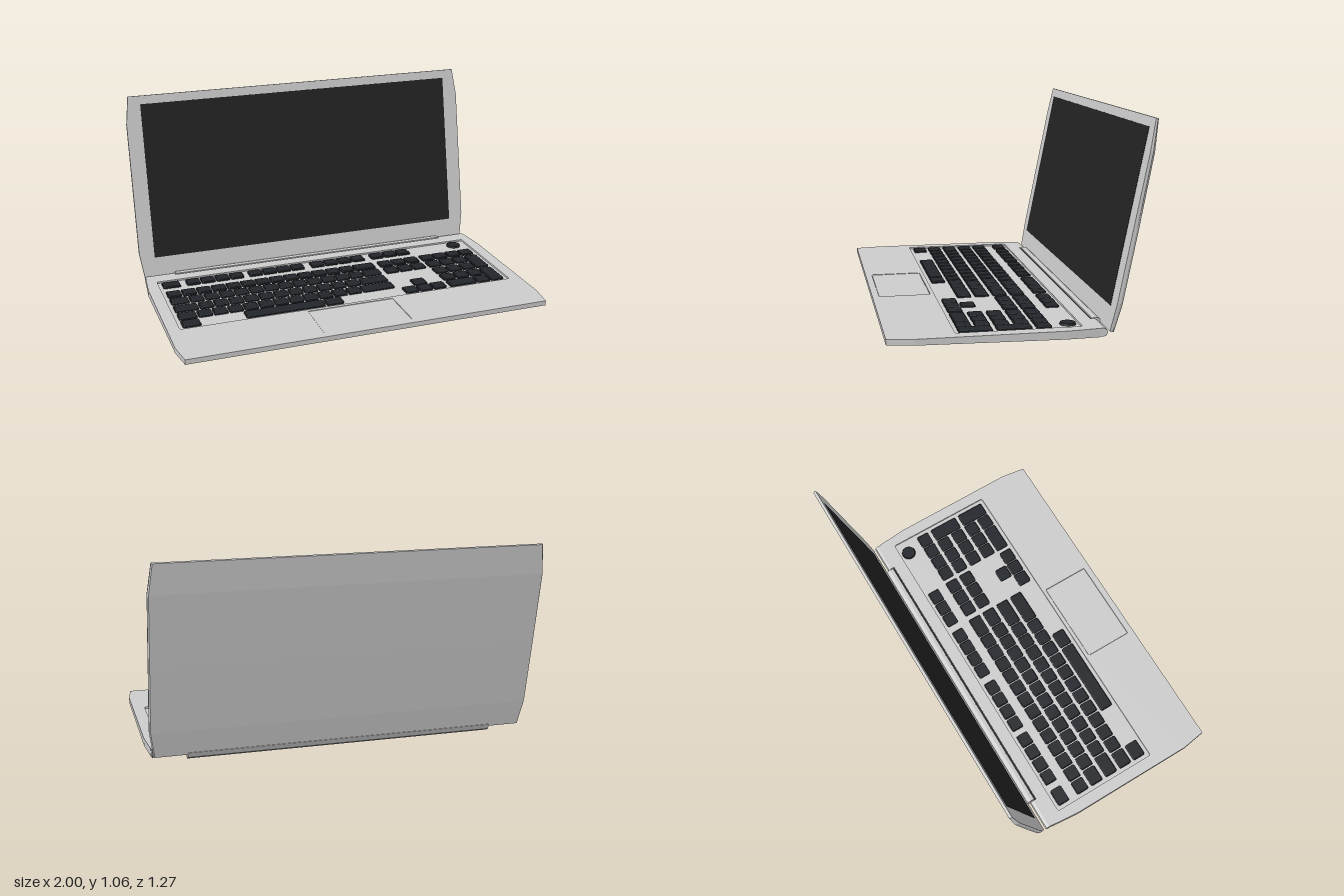
import * as THREE from 'three';

const mat = (color) => new THREE.MeshStandardMaterial({ color, flatShading: true });

// Rounded rectangle path between two corners; y of the path is -z of the model.
function roundRect(Type, x0, z0, x1, z1, r) {
  const p = new Type(), a = -z1, b = -z0;
  p.moveTo(x0 + r, a);
  p.lineTo(x1 - r, a); p.quadraticCurveTo(x1, a, x1, a + r);
  p.lineTo(x1, b - r); p.quadraticCurveTo(x1, b, x1 - r, b);
  p.lineTo(x0 + r, b); p.quadraticCurveTo(x0, b, x0, b - r);
  p.lineTo(x0, a + r); p.quadraticCurveTo(x0, a, x0 + r, a);
  return p;
}

// Solid through rings listed top to bottom, each counter-clockwise seen from above.
function loft(rings, capTop = true) {
  const n = rings[0].length, index = [], last = (rings.length - 1) * n;
  for (let r = 0; r < rings.length - 1; r++) {
    for (let i = 0; i < n; i++) {
      const a = r * n + i, b = r * n + (i + 1) % n;
      index.push(a + n, b + n, b, a + n, b, a);
    }
  }
  for (let i = 1; i < n - 1; i++) {
    if (capTop) index.push(0, i, i + 1);
    index.push(last, last + i + 1, last + i);
  }
  const g = new THREE.BufferGeometry();
  g.setAttribute('position', new THREE.Float32BufferAttribute(rings.flat(2), 3));
  g.setIndex(index);
  const flat = g.toNonIndexed();
  flat.computeVertexNormals();
  return flat;
}

// Profile of [-z, y] points extruded along x.
function extrudeX(points, x0, x1) {
  const shape = new THREE.Shape(points.map(([u, y]) => new THREE.Vector2(u, y)));
  return new THREE.ExtrudeGeometry(shape, { depth: x1 - x0, bevelEnabled: false, curveSegments: 4 })
    .rotateY(Math.PI / 2).translate(x0, 0, 0);
}

// Adds the mirrored half of a ring, keeping its direction.
const mirrorRing = (half) => [...half, ...half.slice().reverse().map(([x, y, z]) => [-x, y, z])];

export function createModel() {
  const model = new THREE.Group();
  const grey = mat(0xcccccc), keyMat = mat(0x22252a), dark = mat(0x222222);
  const add = (name, geo, material, parent = model) => {
    const m = new THREE.Mesh(geo, material);
    m.name = name;
    parent.add(m);
    return m;
  };
  const box = (x0, y0, z0, x1, y1, z1) => new THREE.BoxGeometry(x1 - x0, y1 - y0, z1 - z0)
    .translate((x0 + x1) / 2, (y0 + y1) / 2, (z0 + z1) / 2);

  // Base: top plate with keyboard and trackpad openings
  const outline = [[0.98, 0.635], [1, 0.5], [1, -0.21], [0.985, -0.37]];
  const plate = new THREE.Shape(
    mirrorRing(outline.map(([x, z]) => [x, 0, z])).map(([x, , z]) => new THREE.Vector2(x, -z)));
  plate.holes.push(
    roundRect(THREE.Path, -0.935, -0.3, 0.935, 0.31, 0.01),
    roundRect(THREE.Path, -0.26, 0.33, 0.22, 0.6, 0.006));
  add('topPlate', new THREE.ExtrudeGeometry(plate, { depth: 0.0215, bevelEnabled: false, curveSegments: 3 })
    .rotateX(-Math.PI / 2).translate(0, 0.05, 0), grey);
  add('keyboardFloor', box(-0.94, 0.052, -0.305, 0.94, 0.062, 0.315), grey);
  add('trackpad', box(-0.258, 0.055, 0.332, 0.218, 0.0695, 0.598), grey);

  // Base: tapered underside
  const rim = outline.map(([x, z]) => [x, 0.05, z]);
  const lip = outline.map(([x, z]) => [x, 0.035 + 0.015 * (z - 0.05), z]);
  lip[0][1] = 0.045;
  const foot = [[0.83, 0.008, 0.48], [0.85, 0.007, 0.42], [0.85, 0.001, -0.2], [0.84, 0, -0.3]];
  add('underside', loft([rim, lip, foot].map(mirrorRing), false), grey);

  // Rear corners and the hinge bar between them
  const ear = [[0.365, 0.03], [0.39, 0.03], [0.403, 0.035], [0.41, 0.05],
    [0.405, 0.064], [0.39, 0.0715], [0.365, 0.0715]];
  add('rearCornerLeft', extrudeX(ear, 0.815, 0.983), grey);
  add('rearCornerRight', extrudeX(ear, -0.983, -0.815), grey);
  add('hingeBar', extrudeX([[0.36, 0.028], [0.41, 0.016], [0.435, 0.03], [0.447, 0.058], [0.425, 0.062],
    [0.415, 0.07], [0.4, 0.074], [0.382, 0.072], [0.378, 0.04]], -0.81, 0.81), grey);
  add('hingeGap', box(-0.81, 0.04, -0.384, 0.81, 0.066, -0.368), dark);

  // Keys: rows of widths in key units, negative values are gaps
  const keyboard = new THREE.Group();
  keyboard.name = 'keyboard';
  model.add(keyboard);
  const unit = 0.0832;
  const key = (x0, z0, x1, z1) => add('key', new THREE.ExtrudeGeometry(
    roundRect(THREE.Shape, x0 + 0.004, z0 + 0.004, x1 - 0.004, z1 - 0.004, 0.006),
    { depth: 0.008, bevelThickness: 0.003, bevelSize: 0.004, bevelSegments: 1, curveSegments: 2 })
    .rotateX(-Math.PI / 2).translate(0, 0.0615, 0), keyMat, keyboard);
  const row = (x, z, widths, h = 0.074) => widths.forEach((w) => {
    if (w > 0) key(x + 0.003, z - h / 2, x + w * unit - 0.004, z + h / 2);
    x += Math.abs(w) * unit;
  });
  const ones = (n) => Array(n).fill(1);
  const rowZ = [-0.123, -0.03, 0.066, 0.16, 0.251];
  const main = [
    [...ones(13), 1.55],
    [1.25, ...ones(12), 1.3],
    [1.6, ...ones(11), 1.95],
    [1.25, ...ones(11), 2.3],
    [1.25, -2.8, 5.3, 1.25],
  ];
  const pad = [ones(4), ones(3), ones(3), ones(3), [2, 1]];
  rowZ.forEach((z, i) => {
    row(-0.917, z, main[i]);
    row(0.583, z, pad[i]);
  });
  for (const i of [0, 1, 4]) row(0.318, rowZ[i], ones(3));
  row(0.318 + unit, 0.17, [1]);
  row(0.583 + 3 * unit, 0.02, [1], 0.17);
  row(0.583 + 3 * unit, 0.207, [1], 0.163);
  row(-0.917, -0.248, [1.25, -0.35, ...ones(4), -0.31, ...ones(4), -0.44, ...ones(4), -0.43, ...ones(3)], 0.07);
  add('powerButton', new THREE.CylinderGeometry(0.037, 0.041, 0.012, 24).translate(0.854, 0.0665, -0.248), keyMat);

  // Lid: front face flat, back gently bowed, tilted about the hinge
  const lid = new THREE.Group();
  lid.name = 'lid';
  lid.position.set(0, 0.052, -0.42);
  lid.rotation.x = -0.197;
  model.add(lid);
  const sections = [[1.024, 0.98, 0.015], [0.87, 1, 0.024], [0.5, 1, 0.028], [0.14, 1, 0.028], [0, 0.98, 0.022]];
  add('lidShell', loft(sections.map(([y, w, t]) =>
    mirrorRing([[w, y, 0], [w, y, -t * 0.6], [w - 0.006, y, -t]]))), grey, lid);
  add('screen', box(-0.915, 0.11, -0.006, 0.915, 0.977, 0.0015), dark, lid);

  return model;
}
